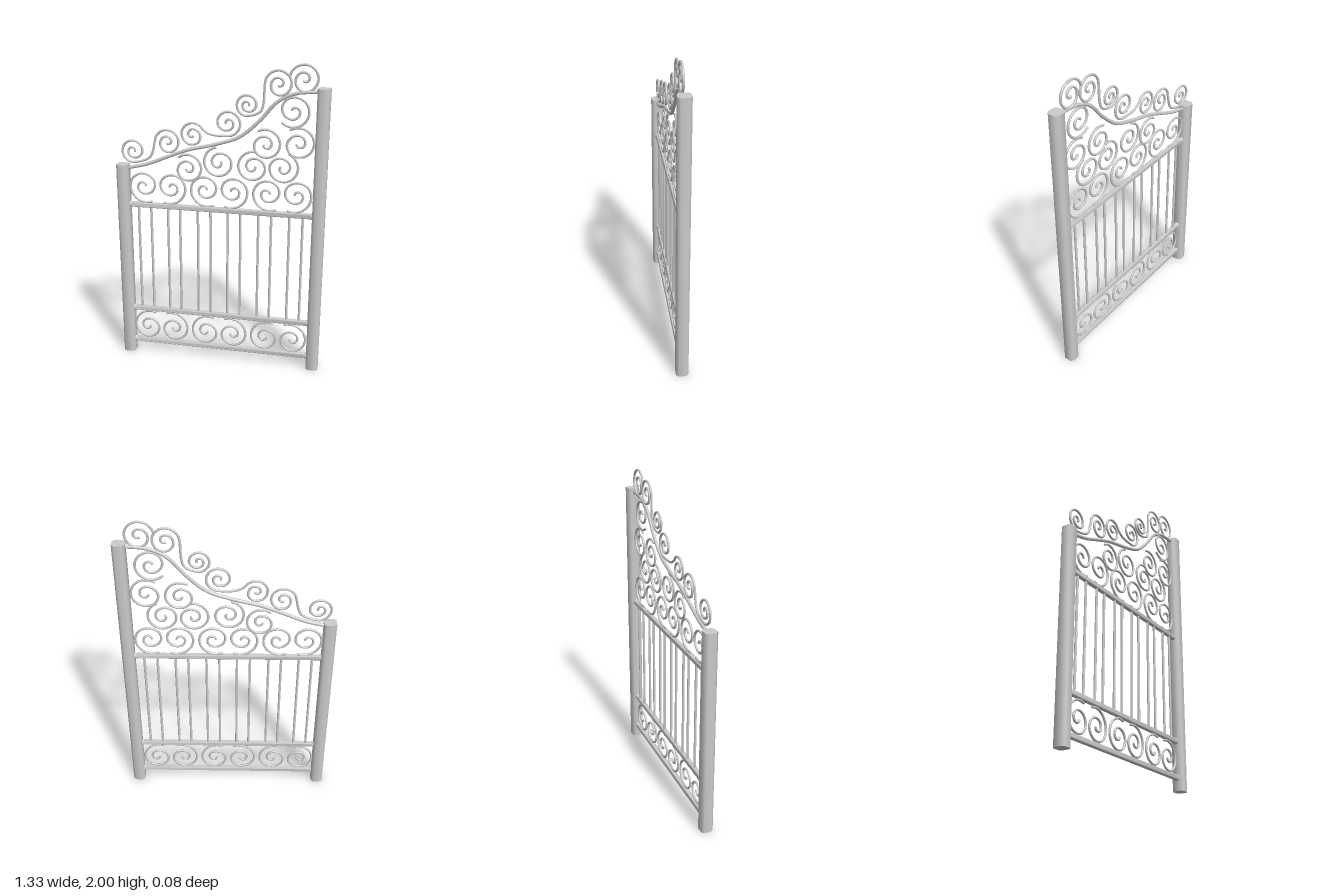
import * as THREE from 'three';
import { toCreasedNormals } from 'three/addons/utils/BufferGeometryUtils.js';

const material = new THREE.MeshStandardMaterial({ color: 0xcccccc });

function add(parent, name, geometry, x = 0, y = 0, z = 0) {
  const mesh = new THREE.Mesh(geometry, material);
  mesh.name = name;
  mesh.position.set(x, y, z);
  parent.add(mesh);
  return mesh;
}

// Square section with softened cut corners, extruded along +z
function chamferedBar(half, cut, length) {
  const h = half, c = half - cut;
  const corners = [[h, -c], [h, c], [c, h], [-c, h], [-h, c], [-h, -c], [-c, -h], [c, -h]];
  const shape = new THREE.Shape(corners.map(([x, y]) => new THREE.Vector2(x, y)));
  const bar = new THREE.ExtrudeGeometry(shape, { depth: length, bevelEnabled: false });
  return toCreasedNormals(bar, Math.PI / 3);
}

// Spiral points from the outer tail inwards, one radius per quarter turn;
// dir +1 is counterclockwise
function spiral(x, y, r, startDeg, dir, tail = 1.12) {
  const radii = [tail, 1.02, 1, 0.95, 0.62, 0.44, 0.35, 0.22];
  const profile = new THREE.SplineCurve(radii.map((v, i) => new THREE.Vector2(i, v)));
  const points = [], steps = 24;
  for (let i = 0; i <= steps; i++) {
    const p = profile.getPoint(i / steps);
    const a = THREE.MathUtils.degToRad(startDeg + dir * p.x * 90);
    points.push(new THREE.Vector3(x + r * p.y * Math.cos(a), y + r * p.y * Math.sin(a), 0));
  }
  return points;
}

// Round wire along points, with rounded tips
function wire(parent, name, points, radius = 0.0075) {
  const curve = new THREE.CatmullRomCurve3(points, false, 'centripetal');
  add(parent, name, new THREE.TubeGeometry(curve, points.length * 3, radius, 8, false));
  for (const p of [points[0], points[points.length - 1]]) {
    add(parent, name + 'Tip', new THREE.SphereGeometry(radius, 8, 6), p.x, p.y, p.z);
  }
}

export function createModel() {
  const gate = new THREE.Group();
  gate.name = 'gate';

  // Posts of unequal height
  for (const [name, x, height] of [['shortPost', -0.624, 1.33], ['tallPost', 0.624, 1.86]]) {
    const post = chamferedBar(0.039, 0.016, height);
    post.rotateX(-Math.PI / 2);
    add(gate, name, post, x);
  }

  // Horizontal rails with flared ends against the posts
  const railLength = 1.18;
  for (const y of [0.085, 0.325, 1.065]) {
    const rail = chamferedBar(0.016, 0.006, railLength);
    rail.rotateY(Math.PI / 2);
    add(gate, 'rail', rail, -railLength / 2, y);
    for (const side of [-1, 1]) {
      const flare = new THREE.CylinderGeometry(0.016, 0.022, 0.02, 12);
      flare.rotateZ(side * Math.PI / 2);
      add(gate, 'railFlare', flare, side * 0.578, y);
    }
  }

  // Upright bars in pairs
  const bars = [-0.53, -0.447, -0.336, -0.257, -0.14, -0.058, 0.053, 0.135, 0.249, 0.33, 0.444, 0.527];
  for (const x of bars) {
    add(gate, 'uprightBar', new THREE.CylinderGeometry(0.008, 0.008, 0.74, 10), x, 0.695);
  }

  // Mirrored scroll pairs below the middle rail and above the upper rail
  const rows = new THREE.Group();
  rows.name = 'scrollRows';
  gate.add(rows);
  for (const cx of [-0.4, -0.003, 0.394]) {
    for (const side of [-1, 1]) {
      for (const [y, flip] of [[0.197, 1], [1.189, -1]]) {
        const start = flip * (side < 0 ? 62 : 118);
        wire(rows, 'rowScroll', spiral(cx + side * 0.094, y, 0.086, start, -side * flip, 1.32));
      }
    }
  }

  // Loose scrolls filling the space under the arch: x, y, radius, start angle, direction
  const panel = new THREE.Group();
  panel.name = 'panelScrolls';
  gate.add(panel);
  const fill = [
    [-0.198, 1.328, 0.081, 130, -1],
    [-0.008, 1.376, 0.086, 100, 1],
    [0.205, 1.362, 0.085, 80, 1],
    [0.397, 1.362, 0.086, 70, -1],
    [0.288, 1.508, 0.084, 120, -1],
    [0.489, 1.524, 0.087, 125, -1],
    [0.452, 1.714, 0.088, 225, 1],
  ];
  for (const s of fill) wire(panel, 'panelScroll', spiral(...s));

  // Swept rail between the post tops
  const arch = [[-0.6, 1.305], [-0.56, 1.315], [-0.468, 1.338], [-0.336, 1.392], [-0.204, 1.444],
    [-0.02, 1.492], [0.124, 1.545], [0.246, 1.651], [0.352, 1.772], [0.458, 1.824], [0.6, 1.838]];
  wire(gate, 'archRail', arch.map(([x, y]) => new THREE.Vector3(x, y, 0)), 0.011);

  // Crest of S-scrolls riding on the arch: first spiral, joining point, second spiral
  const crest = new THREE.Group();
  crest.name = 'crest';
  gate.add(crest);
  const pairs = [
    [[-0.556, 1.42, 0.066, 270, -1], [-0.445, 1.385], [-0.33, 1.492, 0.071, 180, -1]],
    [[-0.17, 1.547, 0.067, 25, 1], [-0.055, 1.552], [0.055, 1.626, 0.071, 265, 1]],
    [[0.167, 1.743, 0.059, 265, -1], [0.252, 1.71], [0.357, 1.88, 0.074, 180, -1]],
  ];
  for (const [a, [mx, my], b] of pairs) {
    const points = [...spiral(...a).reverse(), new THREE.Vector3(mx, my, 0), ...spiral(...b)];
    wire(crest, 'crestScroll', points);
  }
  wire(crest, 'crestEndScroll', spiral(0.507, 1.913, 0.079, 170, -1));

  return gate;
}
